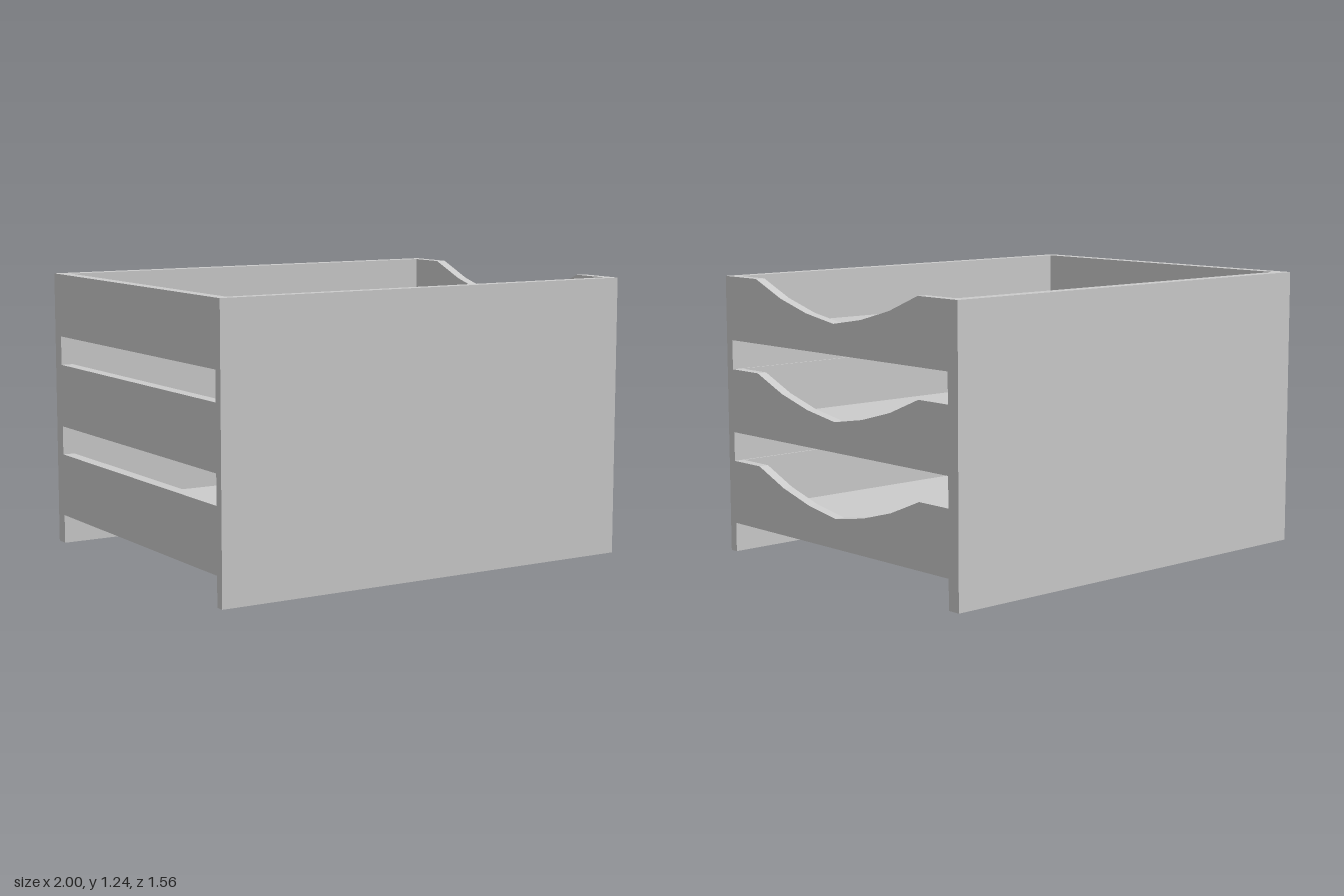
import * as THREE from 'three';

const TRAYS = 3, PITCH = 0.4125;      // stacked trays and their spacing
const HALF_Z = 0.778, FLOOR_BOTTOM = 0.13, FLOOR_TOP = 0.19;
const WALL_FRONT = 0.73, WALL_BACK = -0.72; // inner faces of the long walls
const material = new THREE.MeshStandardMaterial({ color: 0xcccccc, flatShading: true });

// Extrudes a [z, y] outline along x, from x0 to x1
function extrudeAlongX(name, outline, x0, x1) {
  const shape = new THREE.Shape(outline.map(([z, y]) => new THREE.Vector2(-z, y)));
  const geometry = new THREE.ExtrudeGeometry(shape, { depth: x1 - x0, bevelEnabled: false });
  geometry.rotateY(Math.PI / 2).translate(x0, 0, 0);
  const mesh = new THREE.Mesh(geometry, material);
  mesh.name = name;
  return mesh;
}

function createTray() {
  const tray = new THREE.Group();

  // Floor, long walls and the legs running under them, as one section
  tray.add(extrudeAlongX('trayBody', [
    [HALF_Z, 0], [HALF_Z, PITCH], [WALL_FRONT, PITCH], [WALL_FRONT, FLOOR_TOP],
    [WALL_BACK, FLOOR_TOP], [WALL_BACK, PITCH], [-HALF_Z, PITCH], [-HALF_Z, 0],
    [-0.718, 0], [-0.718, FLOOR_BOTTOM], [0.738, FLOOR_BOTTOM], [0.738, 0],
  ], -1, 1));

  // Plain end wall
  tray.add(extrudeAlongX('closedEndWall', [
    [WALL_FRONT, FLOOR_TOP], [WALL_FRONT, PITCH], [WALL_BACK, PITCH], [WALL_BACK, FLOOR_TOP],
  ], -1, -0.945));

  // End wall with a faceted scoop for reaching the contents
  const scoop = [[0.55, 0], [0.373, 0.073], [0.193, 0.123], [0.006, 0.153],
    [-0.178, 0.123], [-0.36, 0.073], [-0.54, 0]].map(([z, drop]) => [z, PITCH - drop]);
  tray.add(extrudeAlongX('scoopedEndWall', [
    [WALL_FRONT, FLOOR_TOP], [WALL_FRONT, PITCH], ...scoop,
    [WALL_BACK, PITCH], [WALL_BACK, FLOOR_TOP],
  ], 0.955, 1));
  return tray;
}

export function createModel() {
  const model = new THREE.Group();
  model.name = 'stackedTrays';
  for (let i = 0; i < TRAYS; i++) {
    const tray = createTray();
    tray.name = `tray${i + 1}`;
    tray.position.y = i * PITCH;
    model.add(tray);
  }
  return model;
}
